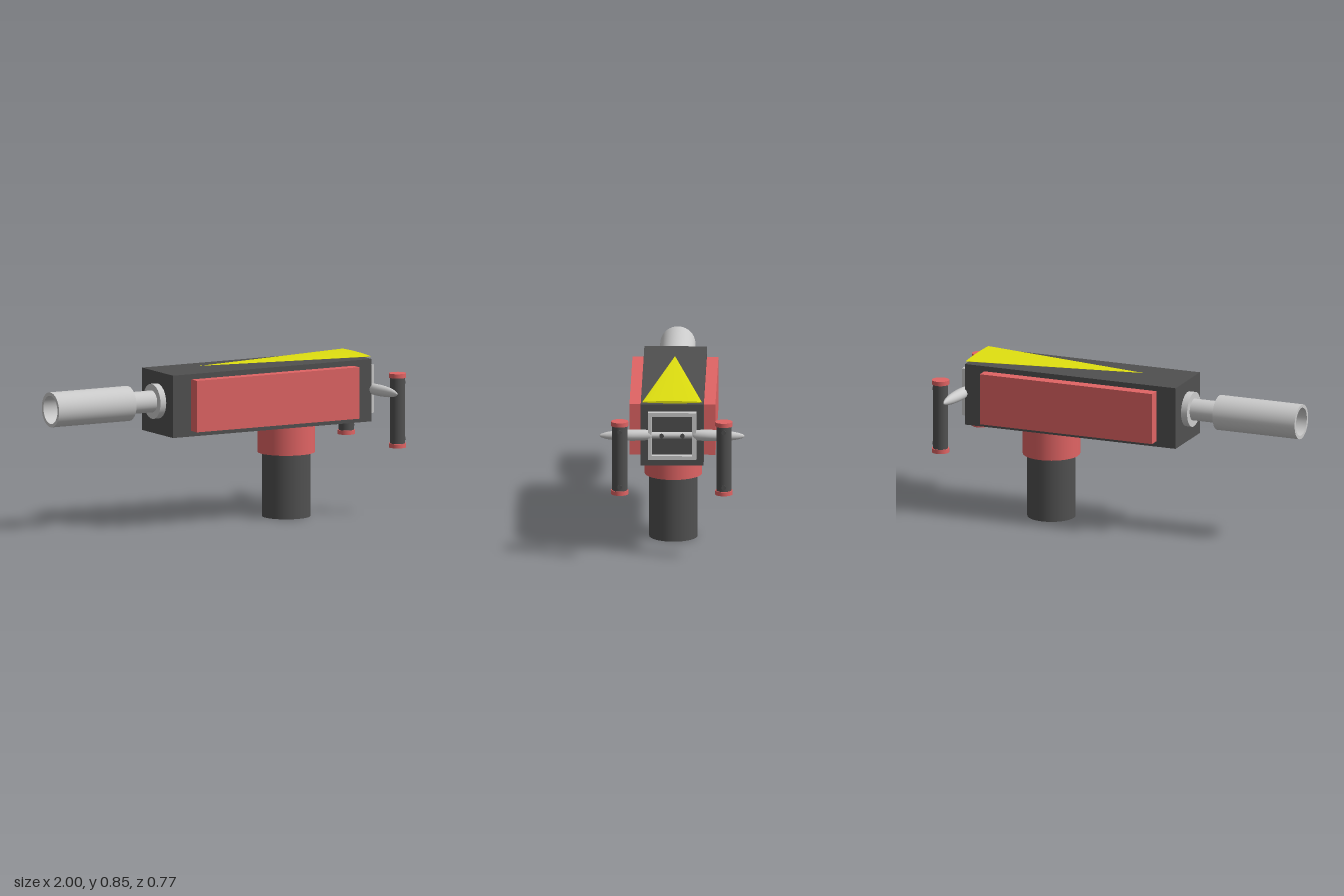
import * as THREE from 'three';

const paint = (color) => new THREE.MeshStandardMaterial({ color });
const grey = paint(0xcccccc);
const dark = paint(0x505050);
const red = paint(0xe06464);
const yellow = paint(0xe0e010);

export function createModel() {
  const model = new THREE.Group();

  const add = (name, geometry, material, x, y, z) => {
    const mesh = new THREE.Mesh(geometry, material);
    mesh.name = name;
    mesh.position.set(x, y, z);
    model.add(mesh);
    return mesh;
  };
  const box = (name, material, w, h, d, x, y, z) =>
    add(name, new THREE.BoxGeometry(w, h, d), material, x, y, z);
  const post = (name, material, r, y0, y1, x, z) =>
    add(name, new THREE.CylinderGeometry(r, r, y1 - y0, 32), material, x, (y0 + y1) / 2, z);
  const rod = (name, material, r, x0, x1, y, z) => {
    const mesh = add(name, new THREE.CylinderGeometry(r, r, x1 - x0, 32), material, (x0 + x1) / 2, y, z);
    mesh.rotation.z = -Math.PI / 2;
    return mesh;
  };

  // Housing and side plates
  box('housing', dark, 1.205, 0.333, 0.332, 0.2525, 0.6615, 0);
  for (const s of [-1, 1]) {
    box('sidePlate', red, 0.985, 0.275, 0.062, 0.2525, 0.6625, s * 0.196);
  }

  // Mounting column
  post('column', dark, 0.128, 0, 0.345, 0.43, 0);
  post('columnCollar', red, 0.152, 0.343, 0.496, 0.43, 0);

  // Barrel with neck and hollow muzzle
  rod('barrelCollar', grey, 0.093, -0.385, -0.345, 0.672, 0);
  rod('barrelNeck', grey, 0.058, -0.54, -0.38, 0.672, 0);
  const tube = [[0, 0], [0.093, 0], [0.093, 0], [0.093, 0.47], [0.093, 0.47],
    [0.075, 0.47], [0.075, 0.47], [0.075, 0.08], [0.075, 0.08], [0, 0.08]];
  // separate lathes for each straight run keep the edges sharp
  const barrel = new THREE.Group();
  barrel.name = 'barrel';
  for (let i = 0; i < tube.length; i += 2) {
    const run = tube.slice(i, i + 2).map(([r, y]) => new THREE.Vector2(r, y));
    barrel.add(new THREE.Mesh(new THREE.LatheGeometry(run, 40), grey));
  }
  barrel.position.set(-0.53, 0.672, 0);
  barrel.rotation.z = Math.PI / 2;
  model.add(barrel);

  // Square frame on the rear face
  const rect = (path, w, h) => path.moveTo(-w, -h).lineTo(w, -h).lineTo(w, h).lineTo(-w, h).closePath();
  const frame = new THREE.Shape();
  rect(frame, 0.128, 0.128);
  const hole = new THREE.Path();
  rect(hole, 0.107, 0.107);
  frame.holes.push(hole);
  const frameMesh = add('frame', new THREE.ExtrudeGeometry(frame, { depth: 0.037, bevelEnabled: false }),
    grey, 0.853, 0.6615, 0);
  frameMesh.rotation.y = Math.PI / 2;

  // Cross bar with two bolts
  const bar = add('crossBar', new THREE.CylinderGeometry(0.017, 0.017, 0.25, 20), grey, 0.872, 0.664, 0);
  bar.rotation.x = Math.PI / 2;
  for (const s of [-1, 1]) rod('barBolt', dark, 0.012, 0.87, 0.892, 0.664, s * 0.055);

  // Curved tapering arms: z, centre x, half width, half height
  const sections = [[0.105, 0.871, 0.018, 0.018], [0.12, 0.871, 0.022, 0.026], [0.15, 0.872, 0.029, 0.029],
    [0.2, 0.874, 0.034, 0.03], [0.25, 0.878, 0.031, 0.029], [0.3, 0.882, 0.025, 0.026],
    [0.345, 0.885, 0.016, 0.019], [0.375, 0.886, 0.007, 0.01], [0.385, 0.886, 0, 0]];
  const n = 24;
  const armGeometry = (s) => {
    const points = [], index = [];
    const rows = [[sections[0][0], sections[0][1], 0, 0], ...sections];
    rows.forEach(([z, x, rx, ry], i) => {
      for (let j = 0; j < n; j++) {
        const a = (j / n) * Math.PI * 2;
        points.push(x + rx * Math.cos(a), ry * Math.sin(a), s * z);
        if (i === 0) continue;
        const k = (j + 1) % n;
        const a0 = (i - 1) * n + j, a1 = (i - 1) * n + k, b0 = i * n + j, b1 = i * n + k;
        if (s > 0) index.push(a0, a1, b0, a1, b1, b0);
        else index.push(a0, b0, a1, a1, b0, b1);
      }
    });
    const g = new THREE.BufferGeometry();
    g.setAttribute('position', new THREE.Float32BufferAttribute(points, 3));
    g.setIndex(index);
    g.computeVertexNormals();
    return g;
  };

  // Arms and upright grips, mirrored
  for (const s of [-1, 1]) {
    add('arm', armGeometry(s), grey, 0, 0.665, 0);
    const x = 0.95, z = s * 0.275;
    post('grip', dark, 0.04, 0.38, 0.74, x, z);
    post('gripTopCap', red, 0.046, 0.737, 0.76, x, z);
    post('gripBottomCap', red, 0.046, 0.364, 0.386, x, z);
    for (const y of [0.41, 0.71]) rod('gripScrew', dark, 0.012, 0.97, 0.992, y, z);
  }

  // Flattened cone marker on top
  const cone = new THREE.ConeGeometry(0.158, 0.955, 40);
  cone.rotateZ(Math.PI / 2);
  cone.scale(1, 0.006 / 0.158, 1);
  add('topMarker', cone, yellow, 0.3775, 0.84, 0);

  return model;
}
